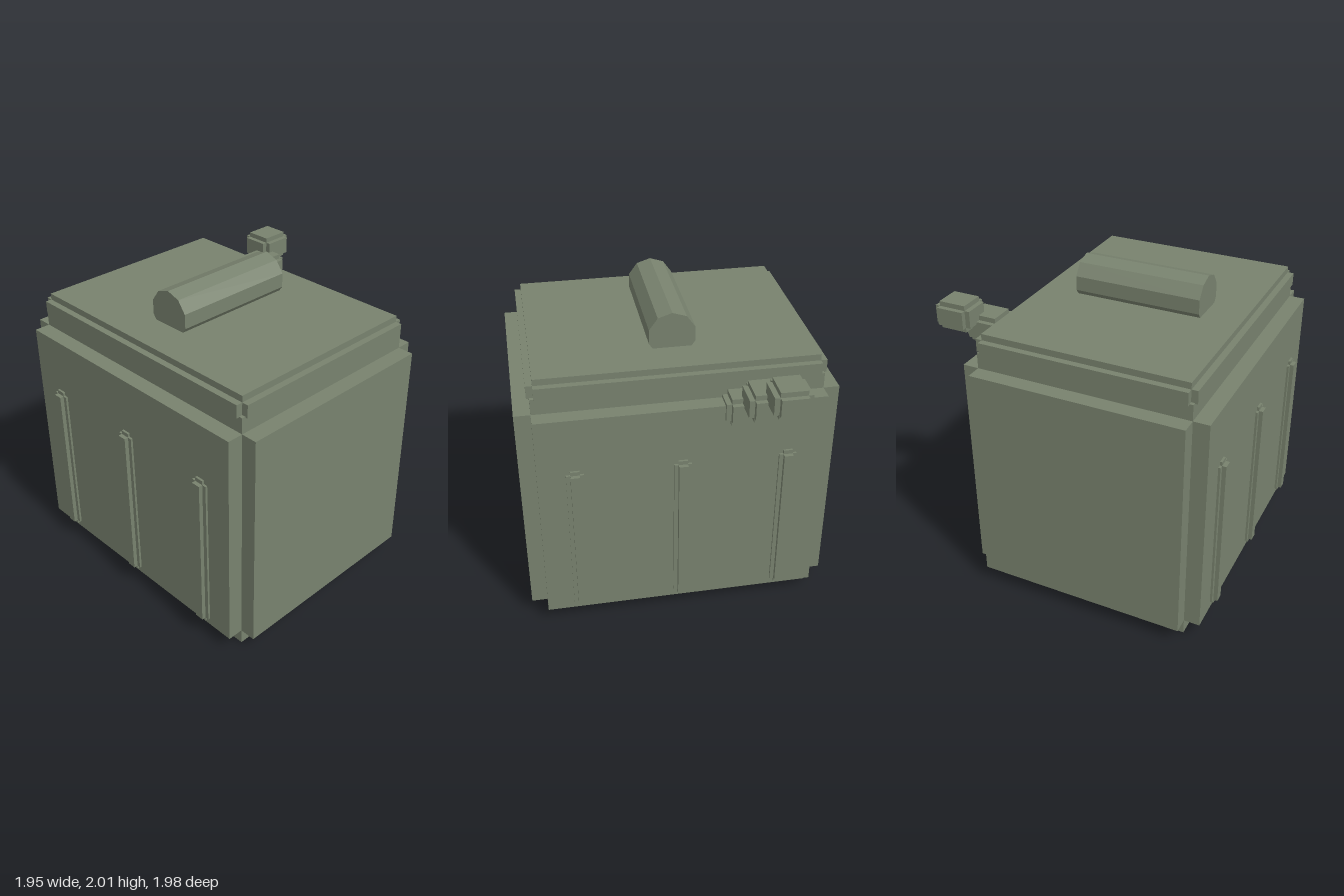
import * as THREE from 'three';

const material = new THREE.MeshStandardMaterial({ color: 0x78826e, flatShading: true });

// Box with a square notch cut along every edge: three crossing boxes
function notchedBox(name, size, position, notch) {
  const group = new THREE.Group();
  group.name = name;
  for (const axis of [0, 1, 2]) {
    const dims = size.map((s, i) => (i === axis ? s : s - 2 * notch));
    // each box keeps full length on two axes' faces through the crossing below
    const mesh = new THREE.Mesh(new THREE.BoxGeometry(...size.map((s, i) => (i === axis ? dims[i] : s - 2 * notch))), material);
    mesh.name = name + 'Core' + 'XYZ'[axis];
    group.add(mesh);
  }
  group.position.set(...position);
  return group;
}

export function createModel() {
  const model = new THREE.Group();
  model.name = 'canister';
  const cx = -0.155;

  // Main container and its lid
  model.add(notchedBox('body', [1.57, 1.66, 1.98], [cx, 0.83, 0], 0.102));
  model.add(notchedBox('lid', [1.4, 0.165, 1.81], [cx, 1.6965, 0], 0.041));

  // Ten-sided handle bar lying across the lid
  const handleShape = new THREE.CylinderGeometry(0.15, 0.15, 0.825, 10);
  handleShape.rotateZ(Math.PI / 2);
  const handle = new THREE.Mesh(handleShape, material);
  handle.name = 'handle';
  // turn so that a flat facet faces up
  handle.rotation.x = Math.PI / 10;
  handle.position.set(cx, 1.857, 0);
  model.add(handle);

  // Upright ribs on both sides
  for (const side of [-1, 1]) {
    for (const z of [-0.66, 0, 0.66]) {
      model.add(notchedBox('rib', [0.11, 1.075, 0.11], [cx + side * 0.77, 0.6625, z], 0.026));
    }
  }

  // Stepped blocks forming the spout
  const spout = new THREE.Group();
  spout.name = 'spout';
  for (const p of [[0.56, 1.52, -0.368], [0.705, 1.622, -0.466], [0.853, 1.72, -0.566]]) {
    spout.add(notchedBox('spoutBlock', [0.243, 0.178, 0.226], p, 0.032));
  }
  model.add(spout);
  return model;
}
